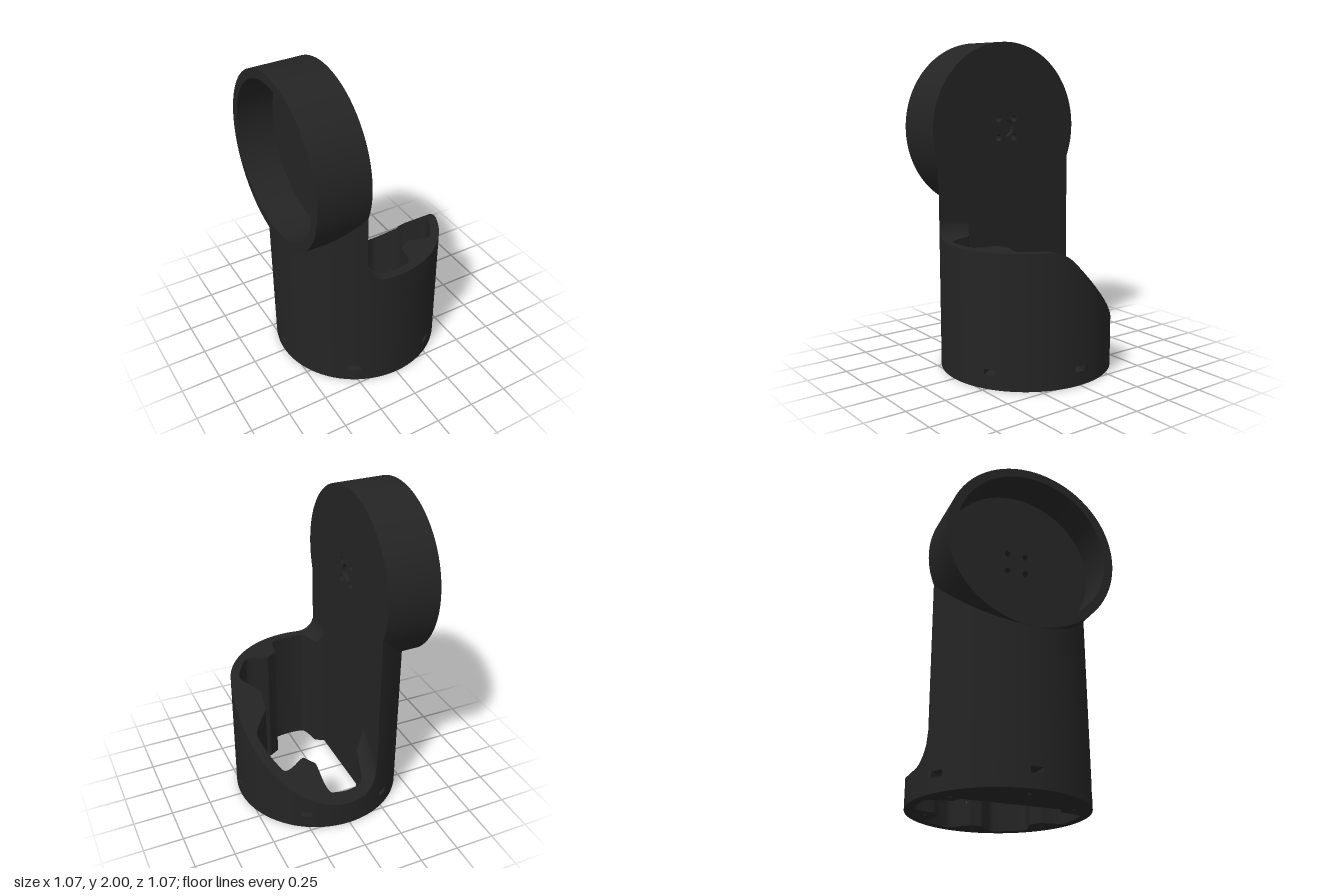
import * as THREE from 'three';
import { toCreasedNormals } from 'three/addons/utils/BufferGeometryUtils.js';
import { ParametricGeometry } from 'three/addons/geometries/ParametricGeometry.js';

const R = 0.533;          // outer radius of cup and head
const RIM = 0.477;        // inner radius of both
const WALL = -0.2;        // x of the flat upright face
const HEAD_Y = 1.467;     // centre of the round head
const BASE = 0.14;        // top of the slotted base layers
const T = THREE.MathUtils.degToRad(124.3);   // cup opening meets the wall here
const C = Math.acos(WALL / R);               // cup outside meets the wall here

// inner radius of the cup, with a rounded lug every 60 degrees
function innerRadius(a) {
  const deg = THREE.MathUtils.radToDeg(a);
  const off = Math.abs(deg - 60 * Math.round(deg / 60));
  return 0.355 + (RIM - 0.355) * THREE.MathUtils.smoothstep(off, 5, 18.5);
}

// height of the cup's edge: level in front, sloping down to the back, filleted to the wall
function edgeHeight(x, z) {
  const z1 = 0.19, z0 = 0.04;
  let y = 0.81, slope = 0;
  if (z < z0) { y = 0.695 + z; slope = 1; }
  else if (z < z1) { y = 0.81 - (z1 - z) ** 2 / 0.3; slope = (z1 - z) / 0.15; }
  const r = 0.11, d = THREE.MathUtils.clamp(x - WALL, 0, r);
  return y + (r - Math.sqrt(r * r - (r - d) ** 2)) * Math.sqrt(1 + slope * slope);
}

const surface = (fn, nu, nv) =>
  new ParametricGeometry((u, v, p) => p.set(...fn(u, v)), nu, nv);

function circle(x, y, r) {
  return new THREE.Path().absarc(x, y, r, 0, Math.PI * 2);
}

function disc(r, holes) {
  const s = new THREE.Shape();
  s.absarc(0, 0, r, 0, Math.PI * 2);
  s.holes.push(...holes);
  return s;
}

function extrude(shape, depth) {
  const g = new THREE.ExtrudeGeometry(shape, { depth, bevelEnabled: false, curveSegments: 72 });
  return toCreasedNormals(g, 0.5);
}

// opening of the cup, closed by the straight wall
function cupOpening() {
  const pts = [];
  for (let i = 0; i <= 240; i++) {
    const a = -T + (2 * T * i) / 240, r = innerRadius(a);
    pts.push(new THREE.Vector2(r * Math.cos(a), r * Math.sin(a)));
  }
  return new THREE.Path(pts);
}

// outline with a square nut slot behind every lug
function slottedOutline() {
  const pts = [], w = 0.037, inner = 0.39, a0 = Math.asin(w / R);
  for (let k = 0; k < 6; k++) {
    const a = (k * Math.PI) / 3, c = Math.cos(a), s = Math.sin(a);
    for (const t of [-w, w]) pts.push(new THREE.Vector2(inner * c - t * s, inner * s + t * c));
    for (let i = 0; i <= 24; i++) {
      const b = a + a0 + ((Math.PI / 3 - 2 * a0) * i) / 24;
      pts.push(new THREE.Vector2(R * Math.cos(b), R * Math.sin(b)));
    }
  }
  return new THREE.Shape(pts);
}

export function createModel() {
  const group = new THREE.Group();
  const black = new THREE.MeshStandardMaterial({ color: 0x242424 });
  black.name = 'matteBlack';
  const add = (name, geometry) => {
    const m = new THREE.Mesh(geometry, black);
    m.name = name;
    group.add(m);
    return m;
  };

  // base layers: screw holes below, nut slots between, plain slab on top
  const screws = [];
  for (let k = 0; k < 6; k++) {
    const a = (k * Math.PI) / 3;
    screws.push(circle(0.425 * Math.cos(a), 0.425 * Math.sin(a), 0.014));
  }
  const slotted = slottedOutline();
  slotted.holes.push(cupOpening());
  const layer = (name, shape, y0, y1) =>
    add(name, extrude(shape, y1 - y0).rotateX(-Math.PI / 2).translate(0, y0, 0));
  layer('baseScrewLayer', disc(R, [cupOpening(), ...screws]), 0, 0.085);
  layer('baseSlotLayer', slotted, 0.085, 0.12);
  layer('baseSlab', disc(R, [cupOpening()]), 0.12, BASE);

  // cup wall: outside, inside with lugs, and shaped top edge
  add('cupOutside', surface((u, v) => {
    const a = C * (1 - 2 * u), x = R * Math.cos(a), z = R * Math.sin(a);
    return [x, BASE + v * (edgeHeight(x, z) - BASE), z];
  }, 160, 4));
  add('cupInside', surface((u, v) => {
    const a = T * (2 * u - 1), r = innerRadius(a);
    const x = r * Math.cos(a), z = r * Math.sin(a);
    return [x, BASE + v * (edgeHeight(x, z) - BASE), z];
  }, 320, 4));
  add('cupEdge', surface((u, v) => {
    const a = T * (1 - 2 * u), c = Math.cos(a);
    const ro = c < 0 ? Math.min(R, WALL / c) : R;
    const r = ro + v * (innerRadius(a) - ro);
    const x = r * c, z = r * Math.sin(a);
    return [x, edgeHeight(x, z), z];
  }, 320, 14));

  // upright column, its top buried in the rim of the head
  const columnTop = (z) => HEAD_Y - Math.sqrt(Math.max(0, 0.505 ** 2 - z * z));
  add('columnBack', surface((u, v) => {
    const a = 2 * Math.PI - C + u * (2 * C - 2 * Math.PI);
    const x = R * Math.cos(a), z = R * Math.sin(a);
    const top = Math.abs(z) < 0.505 ? columnTop(z) : HEAD_Y;
    return [x, BASE + v * (top - BASE), z];
  }, 96, 4));
  const half = R * Math.sin(C);
  add('columnFace', surface((u, v) => {
    const z = half * (1 - 2 * u);
    return [WALL, BASE + v * (columnTop(z) - BASE), z];
  }, 64, 1));

  // round head: open rim, floor with four holes, front plate with a shallow centre recess
  const bolts = () => [[1, 1], [1, -1], [-1, 1], [-1, -1]]
    .map(([i, j]) => circle(0.059 * i, 0.059 * j, 0.021));
  const headPart = (name, shape, x0, x1) =>
    add(name, extrude(shape, x1 - x0).rotateY(Math.PI / 2).translate(x0, HEAD_Y, 0));
  headPart('headRim', disc(R, [circle(0, 0, RIM)]), -R, -0.3);
  headPart('headFloor', disc(R, bolts()), -0.3, -0.23);
  headPart('headFrontPlate', disc(R, [circle(0, 0, 0.052), ...bolts()]), -0.23, WALL);

  return group;
}
